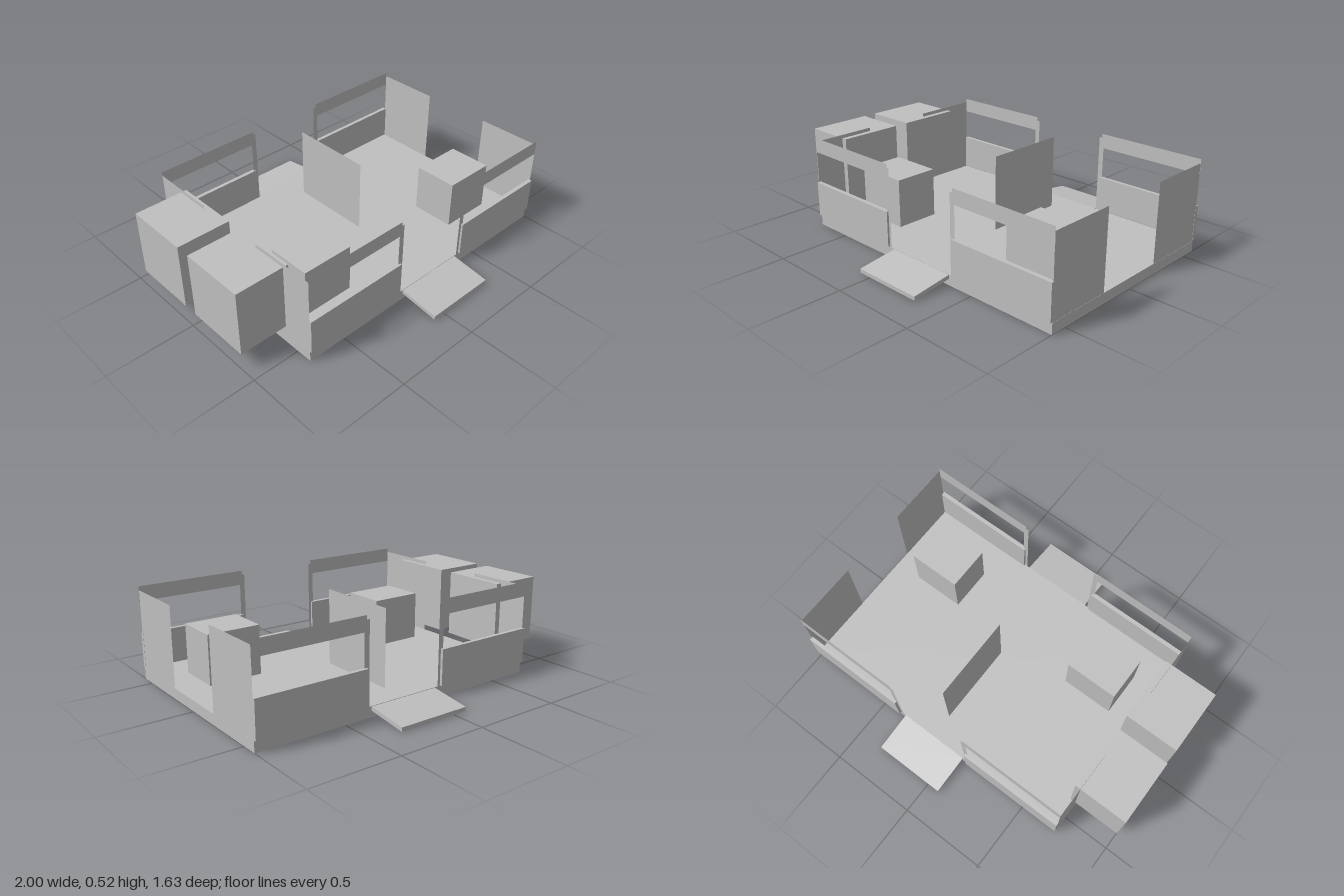
import * as THREE from 'three';

export function createModel() {
  const model = new THREE.Group();
  const grey = new THREE.MeshStandardMaterial({ color: 0xc0c0c0 });
  grey.name = 'plain grey';
  const greySheet = new THREE.MeshStandardMaterial({ color: 0xc0c0c0, side: THREE.DoubleSide });
  greySheet.name = 'plain grey sheet';

  const add = (name, geometry, material) => {
    const mesh = new THREE.Mesh(geometry, material);
    mesh.name = name;
    model.add(mesh);
    return mesh;
  };
  // solid block given by its limits on each axis
  const block = (name, [x0, x1], [y0, y1], [z0, z1]) =>
    add(name, new THREE.BoxGeometry(x1 - x0, y1 - y0, z1 - z0), grey)
      .position.set((x0 + x1) / 2, (y0 + y1) / 2, (z0 + z1) / 2);
  // thin sheet facing z
  const sheetZ = (name, [x0, x1], [y0, y1], z) =>
    add(name, new THREE.PlaneGeometry(x1 - x0, y1 - y0), greySheet)
      .position.set((x0 + x1) / 2, (y0 + y1) / 2, z);
  // thin sheet facing x
  const sheetX = (name, x, [y0, y1], [z0, z1]) => {
    const mesh = add(name, new THREE.PlaneGeometry(z1 - z0, y1 - y0), greySheet);
    mesh.rotation.y = Math.PI / 2;
    mesh.position.set(x, (y0 + y1) / 2, (z0 + z1) / 2);
  };

  block('platform', [-0.725, 1], [0, 0.06], [-0.59, 0.59]);

  // low panels, top rails and entrance posts on both long sides
  const bays = [
    { side: 'right', span: [-0.725, -0.108], post: [-0.123, -0.093] },
    { side: 'left', span: [0.374, 1], post: [0.357, 0.387] },
  ];
  for (const { side, span, post } of bays) {
    block(`${side}FrontPanel`, span, [0.064, 0.263], [0.578, 0.602]);
    block(`${side}BackPanel`, span, [0.064, 0.263], [-0.606, -0.584]);
    for (const [end, z] of [['Front', 0.59], ['Back', -0.59]]) {
      sheetZ(`${side}${end}Rail`, span, [0.442, 0.525], z);
      sheetZ(`${side}${end}Post`, post, [0.06, 0.503], z);
    }
  }

  // corner walls on the short sides
  for (const [side, x] of [['right', -0.725], ['left', 0.999]]) {
    sheetX(`${side}FrontWall`, x, [0.06, 0.503], [0.21, 0.59]);
    sheetX(`${side}BackWall`, x, [0.06, 0.503], [-0.59, -0.21]);
  }
  sheetX('partition', 0.14, [0.06, 0.488], [-0.445, 0.043]);

  // desks
  block('rightDesk', [-0.57, -0.265], [0.06, 0.337], [0.13, 0.385]);
  block('leftDesk', [0.535, 0.84], [0.06, 0.337], [0.13, 0.385]);

  // cabinets hung on the right end
  block('frontCabinet', [-1, -0.693], [0.105, 0.483], [0.038, 0.412]);
  block('backCabinet', [-1, -0.693], [0.105, 0.483], [-0.418, -0.044]);

  // sloping entrance ramps
  for (const [name, s] of [['frontRamp', 1], ['backRamp', -1]]) {
    const profile = new THREE.Shape([
      new THREE.Vector2(-0.588 * s, 0.036), new THREE.Vector2(-0.588 * s, 0.058),
      new THREE.Vector2(-0.816 * s, 0.026), new THREE.Vector2(-0.816 * s, 0.004),
    ]);
    const ramp = add(name, new THREE.ExtrudeGeometry(profile, { depth: 0.416, bevelEnabled: false }), grey);
    ramp.rotation.y = Math.PI / 2;
    ramp.position.x = -0.074;
  }
  return model;
}
